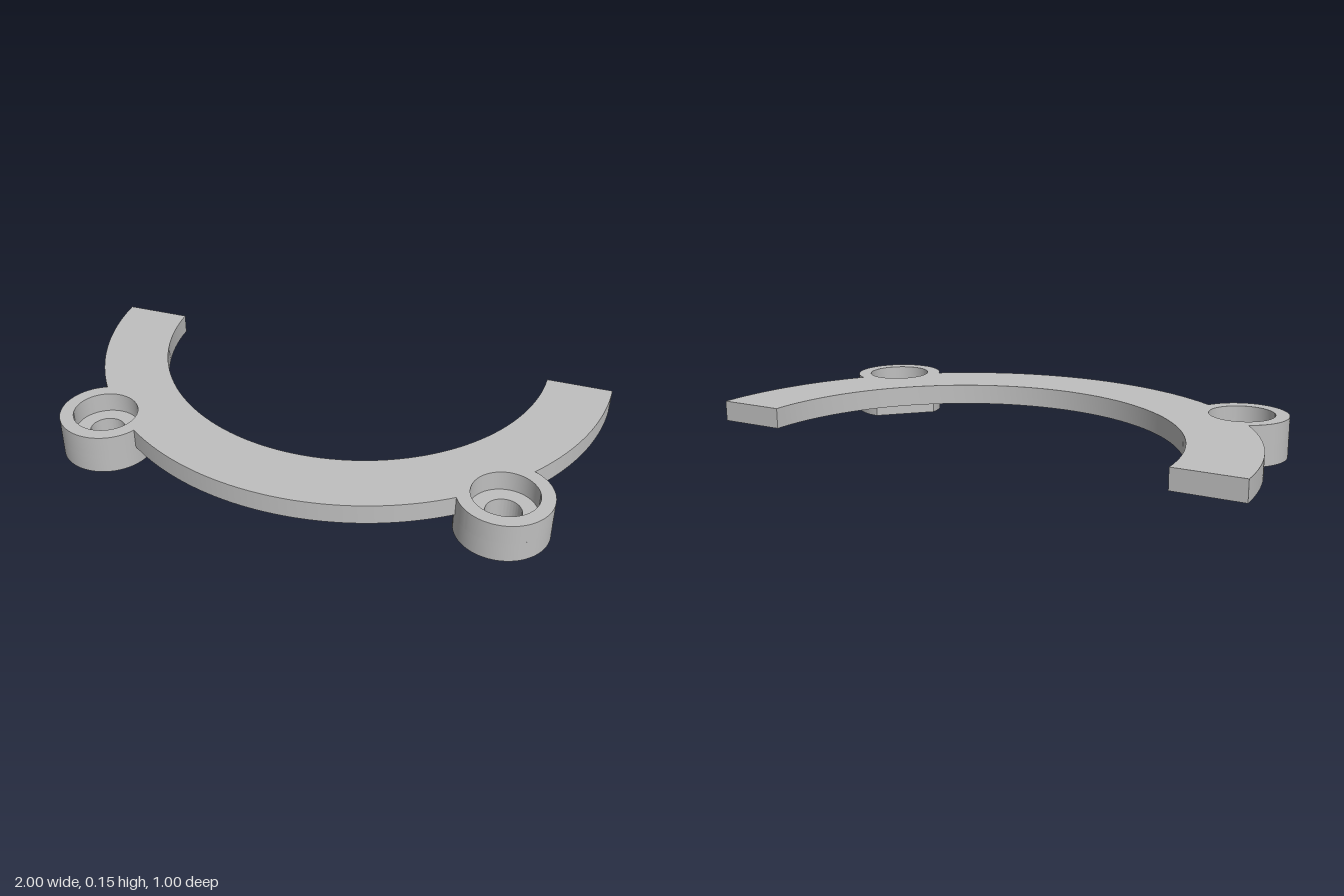
import * as THREE from 'three';
import { toCreasedNormals } from 'three/addons/utils/BufferGeometryUtils.js';

const OUTER = 1, INNER = 0.755;            // half-ring radii
const CENTRE = 0.5;                        // ring centre, in plan (plan y = -z)
const BOSS_R = 0.166, BORE_R = 0.117, HOLE_R = 0.063;
const BOSS_DIST = 1.043;                   // boss centre from ring centre
const FLAT = 0.118;                        // boss centre to its inner flat
const SHELF = 0.075, TOP = 0.149;          // underside of ring, top of model
const ANGLES = [-Math.PI * 3 / 4, -Math.PI / 4];

const bossCentre = (a) => [BOSS_DIST * Math.cos(a), CENTRE + BOSS_DIST * Math.sin(a)];

function circleHole(x, y, r) {
  const path = new THREE.Path();
  path.absarc(x, y, r, 0, Math.PI * 2, true);
  return path;
}

// Extrude a plan outline upwards from y0 to y1
function slab(shape, y0, y1) {
  const geo = new THREE.ExtrudeGeometry(shape, { depth: y1 - y0, bevelEnabled: false, curveSegments: 36 });
  geo.rotateX(-Math.PI / 2);
  geo.translate(0, y0, 0);
  return toCreasedNormals(geo, Math.PI / 6);
}

export function createModel() {
  const group = new THREE.Group();
  const grey = new THREE.MeshStandardMaterial({ color: 0xbfbfbf });
  grey.name = 'plain grey';

  const add = (name, geometry) => {
    const mesh = new THREE.Mesh(geometry, grey);
    mesh.name = name;
    group.add(mesh);
  };

  // Half ring merged with the upper boss rims, pierced by the counterbores
  const along = (OUTER ** 2 + BOSS_DIST ** 2 - BOSS_R ** 2) / (2 * BOSS_DIST);
  const half = Math.acos(along / OUTER);
  const sweep = Math.atan2(OUTER * Math.sin(half), along - BOSS_DIST);
  const ring = new THREE.Shape();
  let start = -Math.PI;
  for (const a of ANGLES) {
    const [x, y] = bossCentre(a);
    ring.absarc(0, CENTRE, OUTER, start, a - half, false);
    ring.absarc(x, y, BOSS_R, a - sweep, a + sweep, false);
    ring.holes.push(circleHole(x, y, BORE_R));
    start = a + half;
  }
  ring.absarc(0, CENTRE, OUTER, start, 0, false);
  ring.absarc(0, CENTRE, INNER, 0, -Math.PI, true);
  ring.closePath();
  add('halfRing', slab(ring, SHELF, TOP));

  // Lower bosses with a flat facing the ring centre and a screw hole
  ANGLES.forEach((a, i) => {
    const [x, y] = bossCentre(a);
    const reach = Math.PI - Math.acos(FLAT / BOSS_R);
    const boss = new THREE.Shape();
    boss.absarc(x, y, BOSS_R, a - reach, a + reach, false);
    boss.closePath();
    boss.holes.push(circleHole(x, y, HOLE_R));
    add(i ? 'leftBoss' : 'rightBoss', slab(boss, 0, SHELF));
  });

  return group;
}
